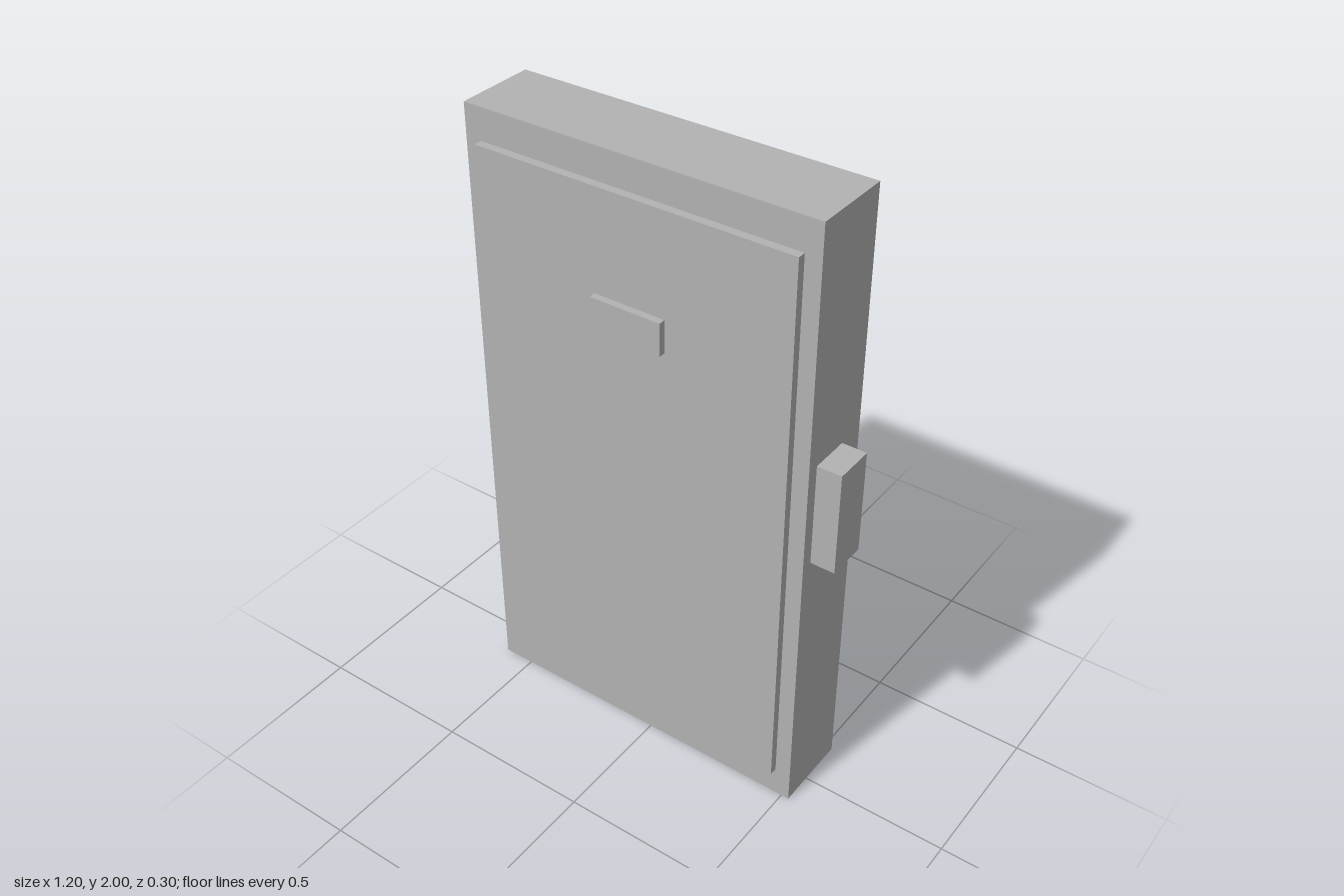
import * as THREE from 'three';

export function createModel() {
  const model = new THREE.Group();
  model.name = 'door';

  const grey = new THREE.MeshStandardMaterial({ color: 0xb2b2b2 });
  grey.name = 'grey';

  // Box given by its low and high corners
  function addBox(name, [x0, y0, z0], [x1, y1, z1]) {
    const mesh = new THREE.Mesh(new THREE.BoxGeometry(x1 - x0, y1 - y0, z1 - z0), grey);
    mesh.position.set((x0 + x1) / 2, (y0 + y1) / 2, (z0 + z1) / 2);
    mesh.name = name;
    model.add(mesh);
  }

  // Main slab
  addBox('body', [-0.602, 0, -0.152], [0.525, 2, 0.103]);
  // Raised panel on the front
  addBox('frontPanel', [-0.551, 0.1, 0.103], [0.474, 1.9, 0.129]);
  // Small plate on the panel
  addBox('namePlate', [-0.154, 1.475, 0.129], [0.077, 1.578, 0.151]);
  // Block on the left edge
  addBox('sideHandle', [0.525, 0.926, -0.063], [0.602, 1.259, 0.065]);

  return model;
}
